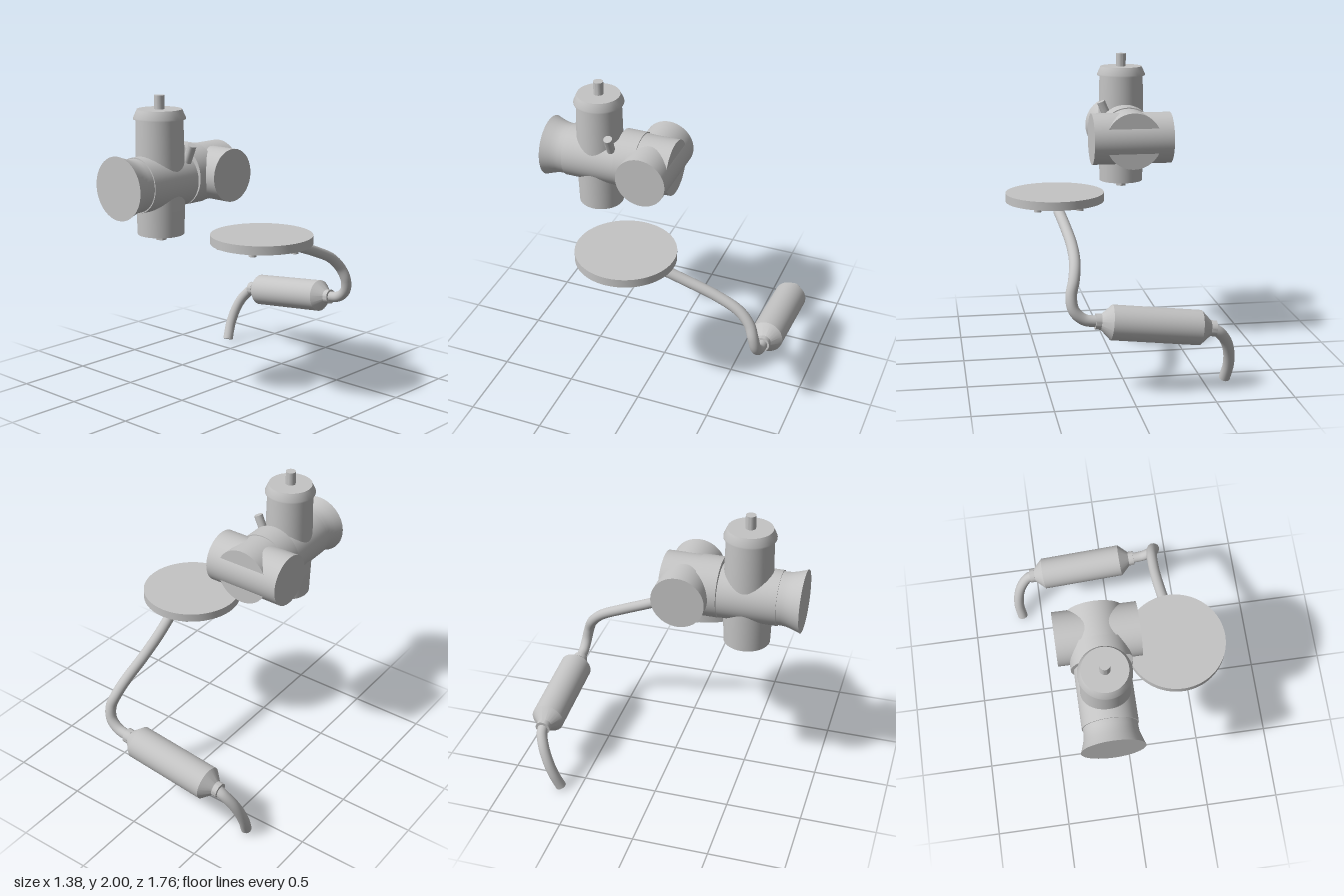
import * as THREE from 'three';
import { toCreasedNormals } from 'three/addons/utils/BufferGeometryUtils.js';

const UP = new THREE.Vector3(0, 1, 0);
const V = (x, y, z) => new THREE.Vector3(x, y, z);

export function createModel() {
  const model = new THREE.Group();
  model.name = 'carburettorAndExhaust';
  const metal = new THREE.MeshStandardMaterial({ color: 0xc4c4c4 });
  metal.name = 'lightGreyMetal';

  const add = (name, geometry, parent = model) => {
    const mesh = new THREE.Mesh(geometry, metal);
    mesh.name = name;
    parent.add(mesh);
    return mesh;
  };

  // Turned solid: profile of [radius, distance] along the direction from an origin
  const turned = (name, profile, origin, dir, parent, sides = 64) => {
    const pts = profile.map(([r, d]) => new THREE.Vector2(r, d));
    pts.unshift(new THREE.Vector2(0, profile[0][1]));
    pts.push(new THREE.Vector2(0, profile[profile.length - 1][1]));
    const geometry = toCreasedNormals(new THREE.LatheGeometry(pts, sides), 0.45);
    const mesh = add(name, geometry, parent);
    mesh.position.copy(origin);
    mesh.quaternion.setFromUnitVectors(UP, dir.clone().normalize());
    return mesh;
  };

  // Bent round pipe with closed ends
  const pipe = (name, points, radius, parent) => {
    const curve = new THREE.CatmullRomCurve3(points);
    add(name, new THREE.TubeGeometry(curve, 80, radius, 24), parent);
    for (const t of [0, 1]) {
      const cap = add(name + 'End', new THREE.CircleGeometry(radius, 24), parent);
      cap.position.copy(curve.getPointAt(t));
      cap.quaternion.setFromUnitVectors(V(0, 0, 1), curve.getTangentAt(t).multiplyScalar(t ? 1 : -1));
    }
  };

  // Carburettor: upright slide chamber
  const carb = new THREE.Group();
  carb.name = 'carburettor';
  model.add(carb);
  const cx = -0.155;
  const base = V(cx, 0, 0.52);
  turned('slideChamber', [[0.15, 1.11], [0.158, 1.36], [0.158, 1.52], [0.15, 1.86]], base, UP, carb);
  turned('chamberCap', [[0.166, 1.85], [0.166, 1.86], [0.146, 1.905], [0.143, 1.912]], base, UP, carb);
  turned('cableStem', [[0.033, 1.9], [0.033, 2]], base, UP, carb, 32);
  const nut = add('drainNut', new THREE.CylinderGeometry(0.036, 0.036, 0.05, 6).toNonIndexed(), carb);
  nut.geometry.computeVertexNormals();
  nut.position.set(cx, 1.095, 0.52);

  // Horizontal throat with flared intake
  const forward = V(0, 0, 1);
  const throat = V(cx, 1.45, 0);
  turned('throat', [[0.177, 0.3], [0.177, 0.73]], throat, forward, carb);
  turned('intakeBell', [[0.17, 0.72], [0.17, 0.76], [0.173, 0.79], [0.181, 0.82], [0.194, 0.86], [0.202, 0.88]],
    throat, forward, carb);

  // Rear clamp, outlet and cross tube
  const rear = V(cx, 1.468, 0);
  turned('mountClamp', [[0.195, 0.21], [0.195, 0.352]], rear, forward, carb);
  turned('outlet', [[0.188, -0.02], [0.188, 0.22]], rear, forward, carb);
  turned('crossTube', [[0.172, -0.425], [0.172, 0.11]], V(0, 1.468, 0.13), V(1, 0, 0), carb);

  // Small leaning enrichment nozzle
  turned('sideNozzle', [[0.029, -0.16], [0.029, 0]], V(0.006, 1.683, 0.392), V(0.4, 0.92, 0), carb, 24);

  // Round plate with six bolt heads beneath
  const plate = new THREE.Group();
  plate.name = 'roundPlate';
  plate.position.set(0.36, 0, 0.125);
  model.add(plate);
  turned('disc', [[0.33, 1.06], [0.33, 1.117]], V(0, 0, 0), UP, plate, 96);
  for (let i = 0; i < 6; i++) {
    const a = i * Math.PI / 3;
    turned('bolt', [[0.024, 1.038], [0.024, 1.07]], V(0.277 * Math.cos(a), 0, 0.277 * Math.sin(a)), UP, plate, 20);
  }

  // Exhaust: front pipe, silencer and tailpipe
  const exhaust = new THREE.Group();
  exhaust.name = 'exhaust';
  model.add(exhaust);
  pipe('frontPipe', [
    V(0.36, 1.035, -0.095), V(0.335, 0.96, -0.28), V(0.32, 0.885, -0.48), V(0.325, 0.81, -0.64),
    V(0.343, 0.73, -0.72), V(0.364, 0.645, -0.755), V(0.35, 0.56, -0.772), V(0.29, 0.502, -0.776), V(0.19, 0.483, -0.776),
  ], 0.036, exhaust);
  const axis = V(0.56, 0.062, 0);
  turned('silencer', [[0.046, -0.35], [0.11, -0.282], [0.11, 0.282], [0.046, 0.35]],
    V(-0.162, 0.444, -0.775), axis, exhaust);
  for (const d of [-0.365, 0.365]) {
    turned('collar', [[0.05, d - 0.018], [0.05, d + 0.018]], V(-0.162, 0.444, -0.775), axis, exhaust, 32);
  }
  pipe('tailpipe', [
    V(-0.52, 0.405, -0.776), V(-0.565, 0.375, -0.772), V(-0.615, 0.31, -0.745), V(-0.645, 0.225, -0.71),
    V(-0.655, 0.125, -0.67), V(-0.642, 0.018, -0.625),
  ], 0.036, exhaust);

  return model;
}
